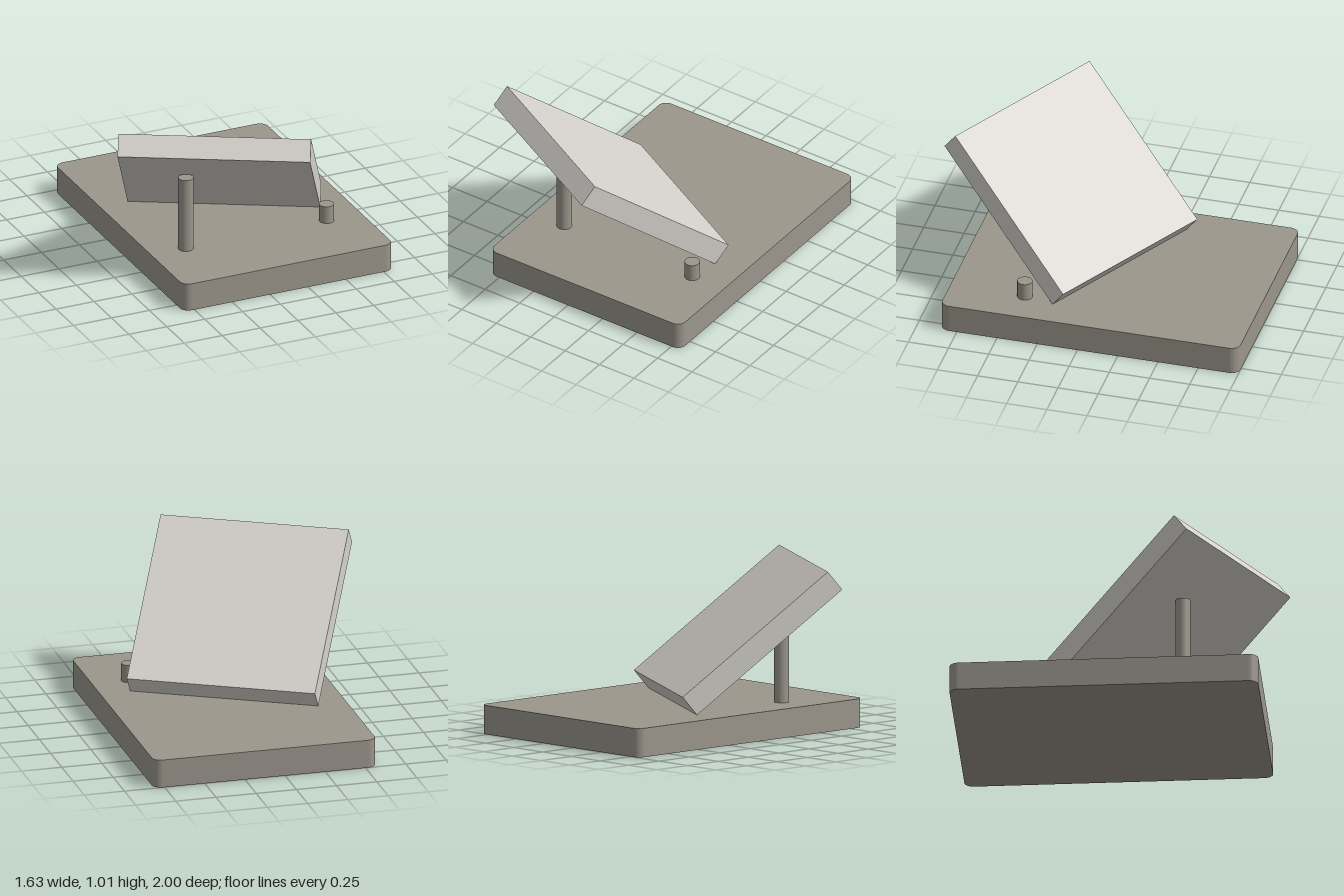
import * as THREE from 'three';

export function createModel() {
  const group = new THREE.Group();
  const stone = new THREE.MeshStandardMaterial({ color: 0x9b968c });
  stone.name = 'warm grey';
  const pale = new THREE.MeshStandardMaterial({ color: 0xd6d3cd });
  pale.name = 'pale grey';

  const add = (name, geometry, material, x, y, z) => {
    const mesh = new THREE.Mesh(geometry, material);
    mesh.name = name;
    mesh.position.set(x, y, z);
    group.add(mesh);
    return mesh;
  };

  // Base slab with rounded vertical corners
  const baseTop = 0.175, w = 0.693, d = 0.927, r = 0.055;
  const outline = new THREE.Shape();
  outline.absarc(w - r, d - r, r, 0, Math.PI / 2);
  outline.absarc(-w + r, d - r, r, Math.PI / 2, Math.PI);
  outline.absarc(-w + r, -d + r, r, Math.PI, Math.PI * 1.5);
  outline.absarc(w - r, -d + r, r, Math.PI * 1.5, Math.PI * 2);
  const slab = new THREE.ExtrudeGeometry(outline, { depth: baseTop, bevelEnabled: false, curveSegments: 4 });
  slab.rotateX(-Math.PI / 2);
  add('base', slab, stone, 0.122, 0, -0.073);

  // Tall supporting post and short stop post
  const addPost = (name, x, top) => {
    const h = top - baseTop;
    add(name, new THREE.CylinderGeometry(0.046, 0.046, h, 32), stone, x, baseTop + h / 2, 0.39);
  };
  addPost('tallPost', -0.343, 0.645);
  addPost('shortPost', 0.585, 0.285);

  // Tilted panel, turned on the base and resting on its lower edge
  const panel = add('panel', new THREE.BoxGeometry(1.157, 0.142, 1.156), pale, -0.074, 0.5925, 0.286);
  panel.rotation.set(-THREE.MathUtils.degToRad(38.9), -THREE.MathUtils.degToRad(28.6), 0, 'YXZ');

  return group;
}
